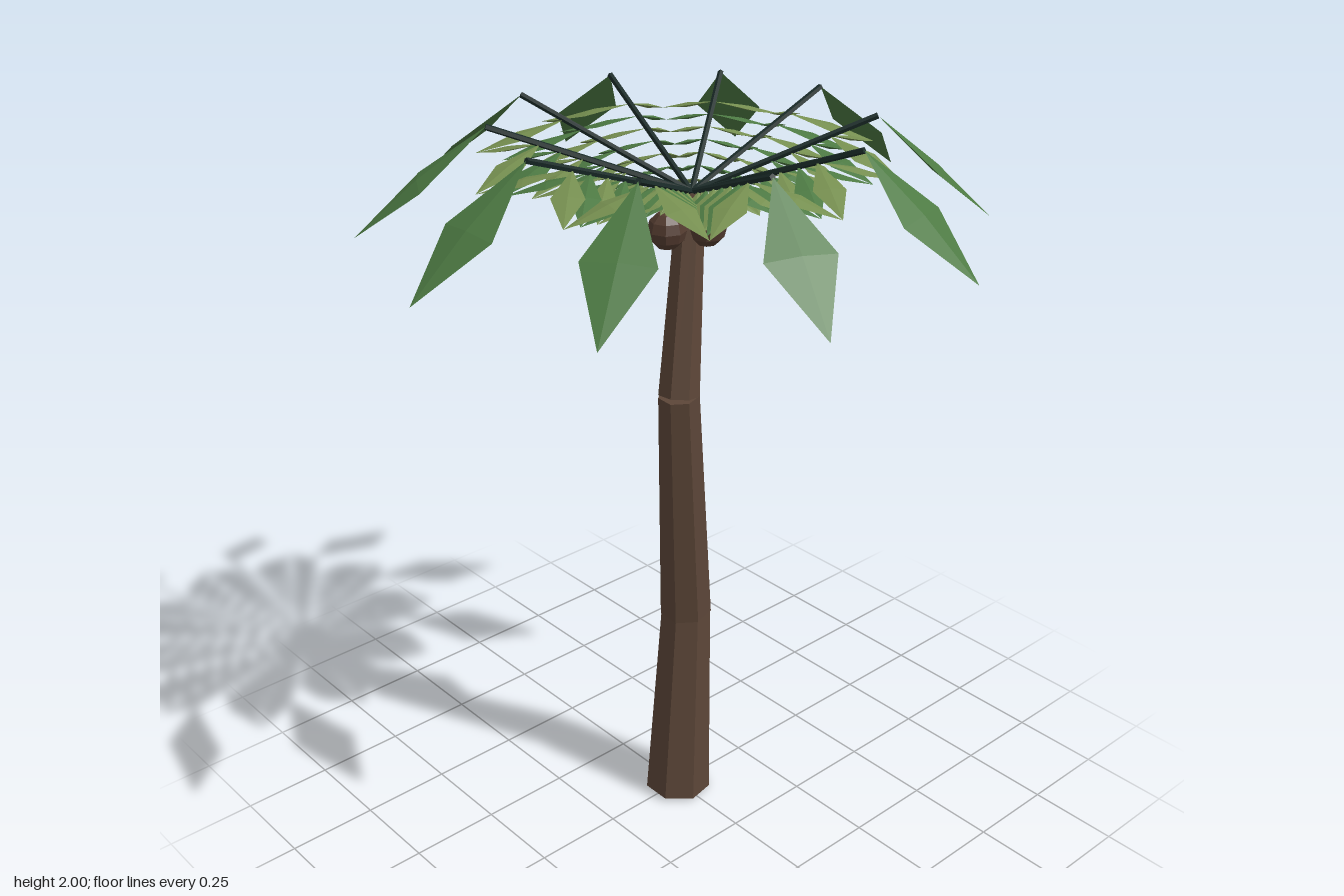
import * as THREE from 'three';

const V = (x, y, z) => new THREE.Vector3(x, y, z);
const mat = (color) => new THREE.MeshStandardMaterial({ color, flatShading: true });
const bark = mat(0x5c4638), husk = mat(0x543c30), stalk = mat(0x1a2b28);
const leafGreen = mat(0x4d7a43), leafOlive = mat(0x768f50);

function add(parent, name, geometry, material) {
  const mesh = new THREE.Mesh(geometry, material);
  mesh.name = name;
  parent.add(mesh);
  return mesh;
}

// Tapered prism running from a to b
function limb(a, b, r0, r1, sides) {
  const dir = b.clone().sub(a);
  const g = new THREE.CylinderGeometry(r1, r0, dir.length(), sides);
  g.rotateY(Math.PI / 2);
  g.applyQuaternion(new THREE.Quaternion().setFromUnitVectors(V(0, 1, 0), dir.normalize()));
  const mid = a.clone().add(b).multiplyScalar(0.5);
  return g.translate(mid.x, mid.y, mid.z);
}

// Flattened diamond leaf running from a to b
function leaf(a, b, width, thickness) {
  const dir = b.clone().sub(a);
  const length = dir.length();
  dir.normalize();
  const side = V(0, 1, 0).cross(dir).normalize();
  const up = dir.clone().cross(side);
  const g = new THREE.OctahedronGeometry(1);
  g.scale(width / 2, thickness / 2, length / 2);
  const m = new THREE.Matrix4().makeBasis(side, up, dir);
  m.setPosition(a.clone().add(b).multiplyScalar(0.5));
  return g.applyMatrix4(m);
}

// Point around a vertical axis placed at x = cx
const around = (cx, r, angle, y) => V(cx + r * Math.cos(angle), y, r * Math.sin(angle));

export function createModel() {
  const tree = new THREE.Group();
  tree.name = 'palmTree';

  // Bent trunk in three seven-sided sections
  const trunk = new THREE.Group();
  trunk.name = 'trunk';
  tree.add(trunk);
  const joints = [V(0, 0.005, 0), V(0.03, 0.6, 0), V(-0.03, 1.295, 0.038), V(0.045, 1.81, 0)];
  const radii = [[0.094, 0.07], [0.072, 0.055], [0.055, 0.036]];
  radii.forEach(([r0, r1], i) =>
    add(trunk, `trunkSection${i + 1}`, limb(joints[i], joints[i + 1], r0, r1, 7), bark));

  // Coconuts clustered under the crown
  for (const [x, z] of [[-0.035, 0], [0.055, 0.048], [0.055, -0.048]]) {
    const nut = add(tree, 'coconut', new THREE.SphereGeometry(0.05, 8, 6), husk);
    nut.position.set(x, 1.73, z);
  }

  // Crown of ten fronds
  const count = 10, stations = 7;
  const hub = V(0.047, 1.81, 0);
  for (let i = 0; i < count; i++) {
    const angle = (i / count) * Math.PI * 2;
    const frond = new THREE.Group();
    frond.name = 'frond';
    tree.add(frond);

    const tip = around(0.02, 0.475, angle, 1.992);
    add(frond, 'stem', limb(hub, tip, 0.008, 0.008, 5), stalk);
    add(frond, 'endLeaf', leaf(tip, around(0, 0.79, angle, 1.73), 0.176, 0.02), leafGreen);

    // Paired leaflets droop outwards to meet those of the neighbouring fronds
    for (let s = 1; s <= stations; s++) {
      const t = s / stations;
      const start = hub.clone().lerp(tip, 0.74 * t);
      for (const side of [-1, 1]) {
        const reach = 0.06 + 0.47 * t;
        const end = around(0.03 - 0.01 * t, reach, angle + side * Math.PI / count, start.y - 0.035 - 0.03 * t);
        add(frond, 'leaflet', leaf(start, end, 0.03 + 0.05 * t, 0.012), s % 2 ? leafOlive : leafGreen);
      }
    }
  }
  return tree;
}
